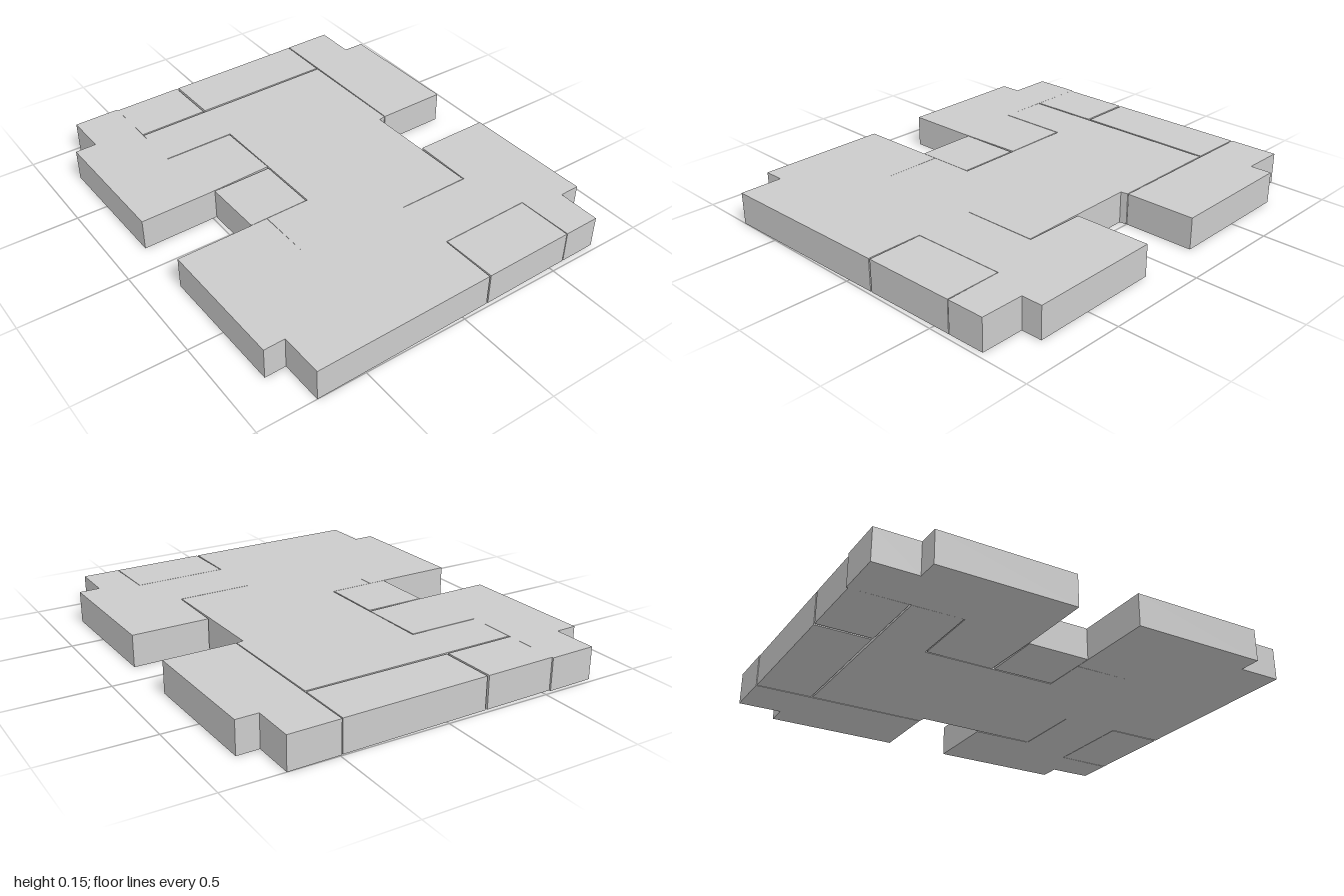
import * as THREE from 'three';

const HEIGHT = 0.15;
const material = new THREE.MeshStandardMaterial({ color: 0xcccccc, flatShading: true });

// Floor panels as plan outlines [x, z]; thin gaps between them form the seams
const panels = {
  backLeftCornerWing: [[-0.76, -0.98], [-0.54, -0.984], [-0.535, -0.142], [-0.848, -0.136],
    [-0.858, -0.773], [-0.757, -0.776]],
  backSmallPanel: [[-0.54, -0.976], [-0.205, -0.982], [-0.2, -0.724], [-0.537, -0.718]],
  backMiddlePanel: [[-0.195, -0.982], [0.487, -0.994], [0.489, -0.735], [-0.19, -0.726]],
  backRightWing: [[0.492, -0.996], [0.727, -1], [0.727, -0.8], [0.83, -0.802],
    [0.84, -0.177], [0.502, -0.172]],
  innerSidePanel: [[-0.537, -0.474], [-0.2, -0.478], [-0.192, -0.158], [-0.535, -0.142]],
  // Small block bridging the waist
  waistBlock: [[-0.483, -0.14], [-0.195, -0.146], [-0.191, 0.149], [-0.478, 0.155]],
  // Long core running from the back strip to the front edge
  corePanel: [[-0.537, -0.71], [0.489, -0.727], [0.498, -0.172], [0.465, -0.166], [0.477, 0.429],
    [0.125, 0.434], [0.13, 0.72], [0.133, 0.984], [-0.386, 0.994], [-0.386, 0.72],
    [-0.393, 0.72], [-0.398, 0.155], [-0.184, 0.151], [-0.194, -0.483], [-0.537, -0.478]],
  frontLeftWing: [[-0.842, 0.163], [-0.4, 0.155], [-0.391, 0.72], [-0.386, 0.72],
    [-0.386, 0.994], [-0.73, 1], [-0.733, 0.795], [-0.832, 0.797]],
  frontRightWing: [[0.481, 0.139], [0.845, 0.134], [0.855, 0.768], [0.757, 0.77], [0.757, 0.973],
    [0.582, 0.976], [0.575, 0.709], [0.125, 0.718], [0.125, 0.436], [0.481, 0.432]],
  frontSmallPanel: [[0.134, 0.72], [0.573, 0.711], [0.578, 0.976], [0.14, 0.984]],
};

// Extrude a plan outline upward from the ground
function makePanel(name, outline) {
  const shape = new THREE.Shape(outline.map(([x, z]) => new THREE.Vector2(x, -z)));
  const geometry = new THREE.ExtrudeGeometry(shape, { depth: HEIGHT, bevelEnabled: false });
  geometry.rotateX(-Math.PI / 2);
  const mesh = new THREE.Mesh(geometry, material);
  mesh.name = name;
  return mesh;
}

export function createModel() {
  const model = new THREE.Group();
  model.name = 'panelledFloorSlab';
  for (const [name, outline] of Object.entries(panels)) model.add(makePanel(name, outline));
  return model;
}
